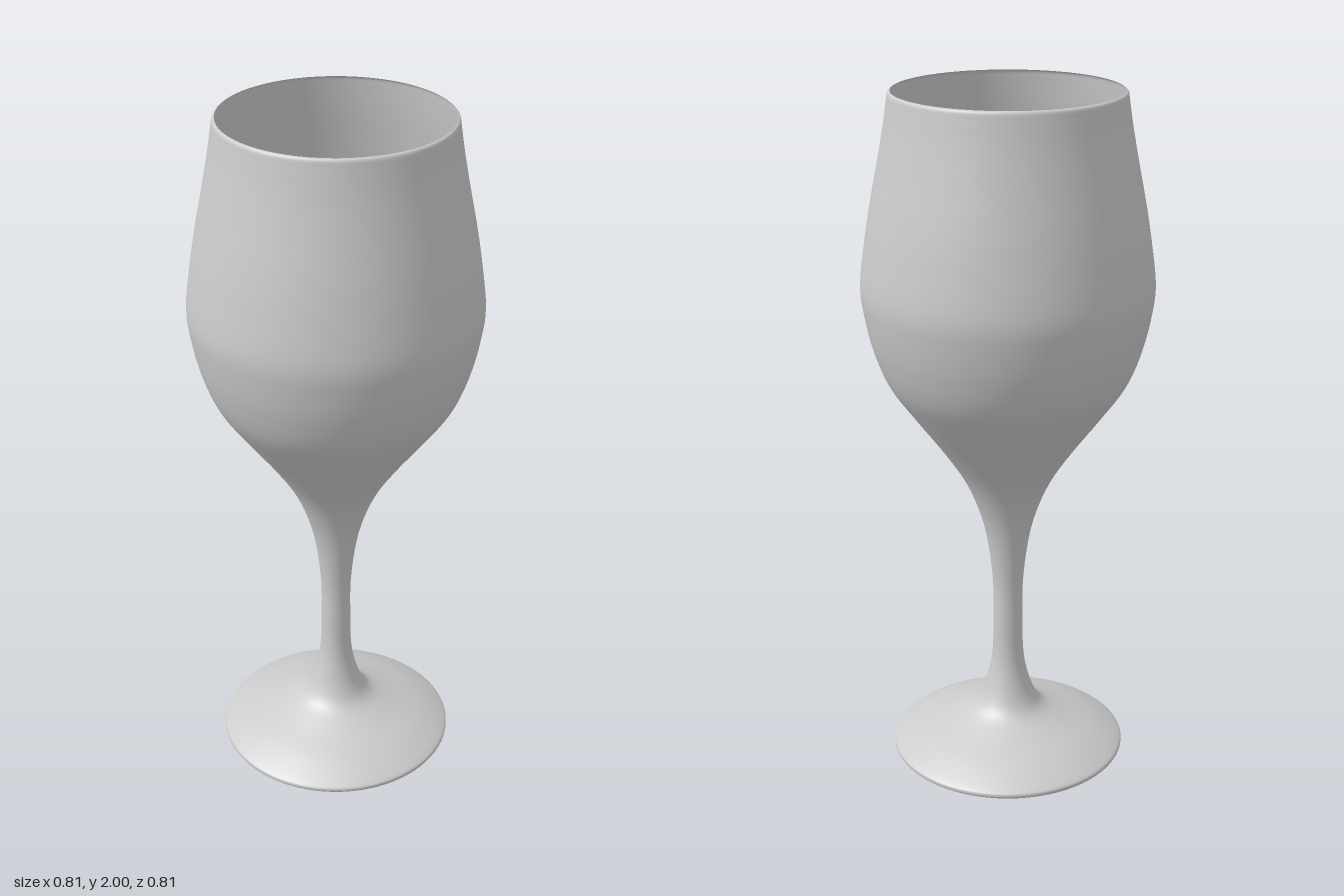
import * as THREE from 'three';

const material = new THREE.MeshStandardMaterial({ color: 0xcccccc, side: THREE.DoubleSide });

// Smooth surface of revolution through [radius, height] points
function turned(name, points, steps) {
  const curve = new THREE.SplineCurve(points.map(([r, y]) => new THREE.Vector2(r, y)));
  const profile = curve.getPoints(steps);
  profile.forEach((p) => { p.x = Math.max(p.x, 0); });
  const mesh = new THREE.Mesh(new THREE.LatheGeometry(profile, 96), material);
  mesh.name = name;
  return mesh;
}

export function createModel() {
  const group = new THREE.Group();
  group.name = 'wineGlass';

  // Thin hollow shell: underside, foot, stem, bowl and rolled rim in one sweep
  group.add(turned('glassShell', [
    // underside and foot edge
    [0, 0], [0.1, 0.003], [0.2, 0.01], [0.29, 0.024], [0.332, 0.038], [0.342, 0.05], [0.33, 0.064],
    // top of foot
    [0.26, 0.1], [0.165, 0.137], [0.108, 0.166], [0.078, 0.208],
    // stem
    [0.055, 0.28], [0.045, 0.35], [0.043, 0.45], [0.044, 0.57], [0.059, 0.7], [0.084, 0.8],
    // bowl
    [0.127, 0.9], [0.192, 1.0], [0.266, 1.1], [0.335, 1.2], [0.374, 1.3], [0.396, 1.4],
    [0.403, 1.48], [0.388, 1.6], [0.371, 1.7], [0.351, 1.8], [0.332, 1.9],
    // rim turned slightly inward
    [0.321, 1.97], [0.317, 1.994], [0.31, 2],
  ], 180));

  return group;
}
